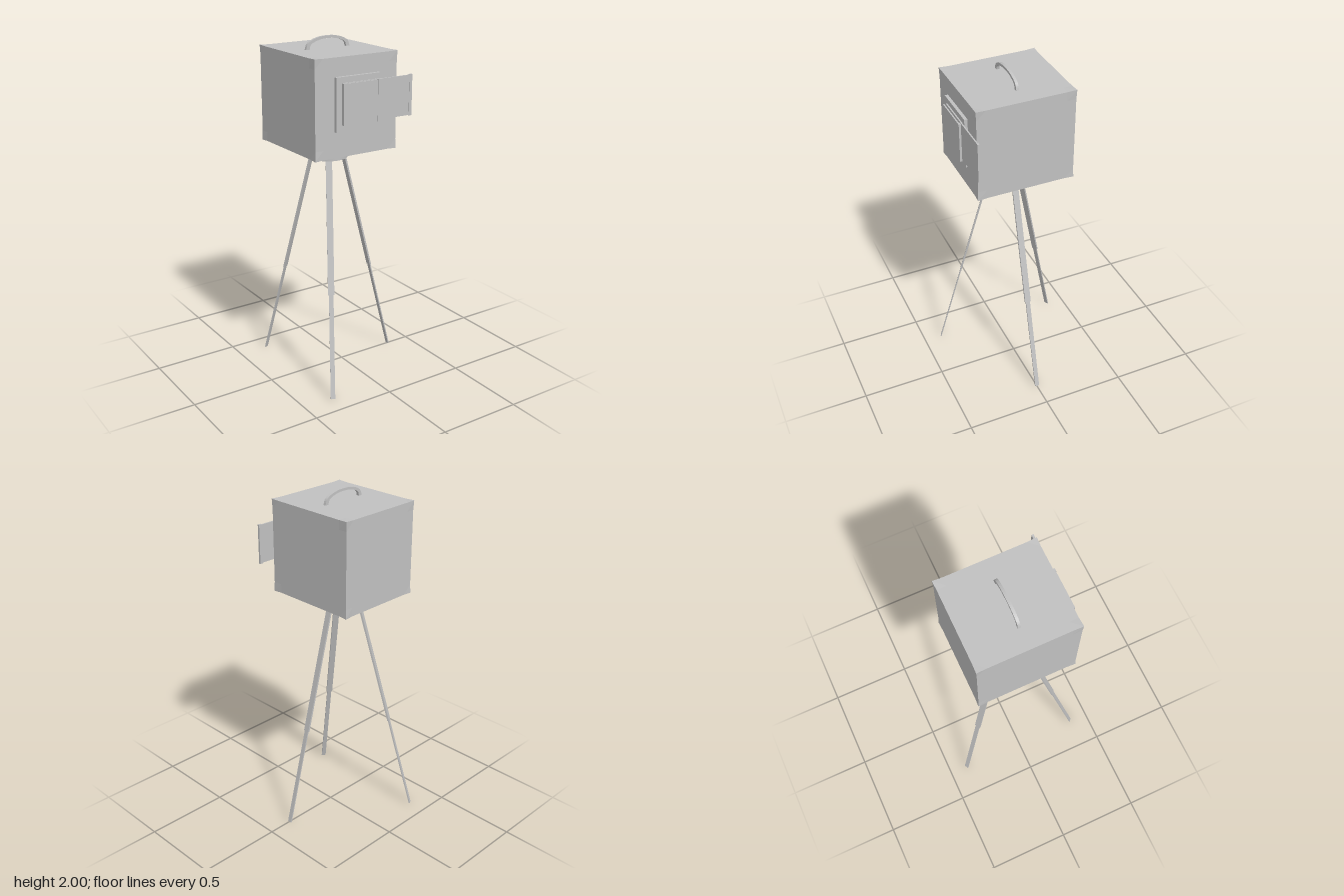
import * as THREE from 'three';

const CX = -0.093; // axis of the head and stand

export function createModel() {
  const root = new THREE.Group();
  const grey = new THREE.MeshStandardMaterial({ color: 0xc0c0c0 });
  grey.name = 'light grey';

  function add(name, geometry, x = 0, y = 0, z = 0, parent = root) {
    const mesh = new THREE.Mesh(geometry, grey);
    mesh.name = name;
    mesh.position.set(x, y, z);
    parent.add(mesh);
    return mesh;
  }

  // box given by its bounds
  function slab(name, x0, x1, y0, y1, z0, z1, parent = root) {
    return add(name, new THREE.BoxGeometry(x1 - x0, y1 - y0, z1 - z0),
      (x0 + x1) / 2, (y0 + y1) / 2, (z0 + z1) / 2, parent);
  }

  // camera body: a box whose faces sink very slightly between the corners
  const w = 0.53, h = 0.546, d = 0.574;
  const box = new THREE.BoxGeometry(w, h, d, 3, 3, 3);
  const p = box.attributes.position;
  const half = [w / 2, h / 2, d / 2];
  for (let i = 0; i < p.count; i++) {
    const v = [p.getX(i), p.getY(i), p.getZ(i)];
    const corner = v.every((c, k) => Math.abs(c) > half[k] * 0.9);
    const moved = v.map((c, k) => {
      if (Math.abs(c) < half[k] * 0.9) return Math.sign(c) * half[k] * 0.8;
      return corner ? c : c - Math.sign(c) * 0.0025;
    });
    p.setXYZ(i, ...moved);
  }
  const body = box.toNonIndexed();
  body.computeVertexNormals();
  add('body', body, CX, 1.662, -0.001);

  // arched carrying handle
  const outer = [[-0.142, 1.93], [-0.13, 1.963], [-0.098, 1.984], [-0.05, 1.997], [0, 2]];
  const inner = [[-0.119, 1.93], [-0.112, 1.956], [-0.088, 1.971], [-0.045, 1.983], [0, 1.986]];
  const arch = (pts) => {
    const mirrored = pts.slice(0, -1).reverse().map(([x, y]) => [-x, y]);
    return new THREE.SplineCurve([...pts, ...mirrored].map(([x, y]) => new THREE.Vector2(x, y))).getPoints(32);
  };
  const handle = new THREE.Shape([...arch(outer), ...arch(inner).reverse()]);
  add('handle', new THREE.ExtrudeGeometry(handle, { depth: 0.016, bevelEnabled: false }), CX, 0, -0.01);

  // front plate, lens and the two sliding shutters
  slab('frontPlate', -0.235, 0.049, 1.535, 1.83, 0.28, 0.302);
  slab('lensBoard', -0.2, 0.02, 1.572, 1.798, 0.3, 0.31);
  const lens = add('lensBarrel', new THREE.CylinderGeometry(0.055, 0.055, 0.012, 40), CX, 1.685, 0.314);
  lens.rotation.x = Math.PI / 2;

  function shutter(name, x0, x1, z) {
    const g = new THREE.Group();
    g.name = name;
    root.add(g);
    slab('shutterPanel', x0, x1 - 0.018, 1.573, 1.797, z - 0.004, z + 0.004, g);
    slab('shutterLip', x1 - 0.02, x1 - 0.001, 1.57, 1.8, z - 0.006, z + 0.006, g);
  }
  shutter('frontShutter', -0.203, 0.036, 0.322);
  shutter('openShutter', 0.018, 0.257, 0.307);

  // mounting collar and disc
  add('collar', new THREE.CylinderGeometry(0.082, 0.082, 0.065, 48), CX, 1.362, -0.002);
  add('mountDisc', new THREE.CylinderGeometry(0.112, 0.112, 0.02, 48), CX, 1.325, -0.002);

  // three splayed legs, each with a wide upper and a narrow lower section
  const topR = 0.103, footR = 0.447, topY = 1.32;
  const tilt = Math.atan2(footR - topR, topY);
  const length = Math.hypot(footR - topR, topY);
  const joint = length * 0.56;
  for (let i = 0; i < 3; i++) {
    const leg = new THREE.Group();
    leg.name = 'leg' + (i + 1);
    leg.position.set(CX, 0, -0.002);
    leg.rotation.y = (i * Math.PI * 2) / 3;
    root.add(leg);
    const strut = new THREE.Group();
    strut.name = 'strut';
    strut.position.set(topR, topY, 0);
    strut.rotation.z = tilt;
    leg.add(strut);
    slab('upperLeg', -0.005, 0.005, -joint, 0, -0.018, 0.018, strut);
    slab('lowerLeg', -0.0035, 0.0035, -length, -joint + 0.01, -0.013, 0.013, strut);
  }
  return root;
}
